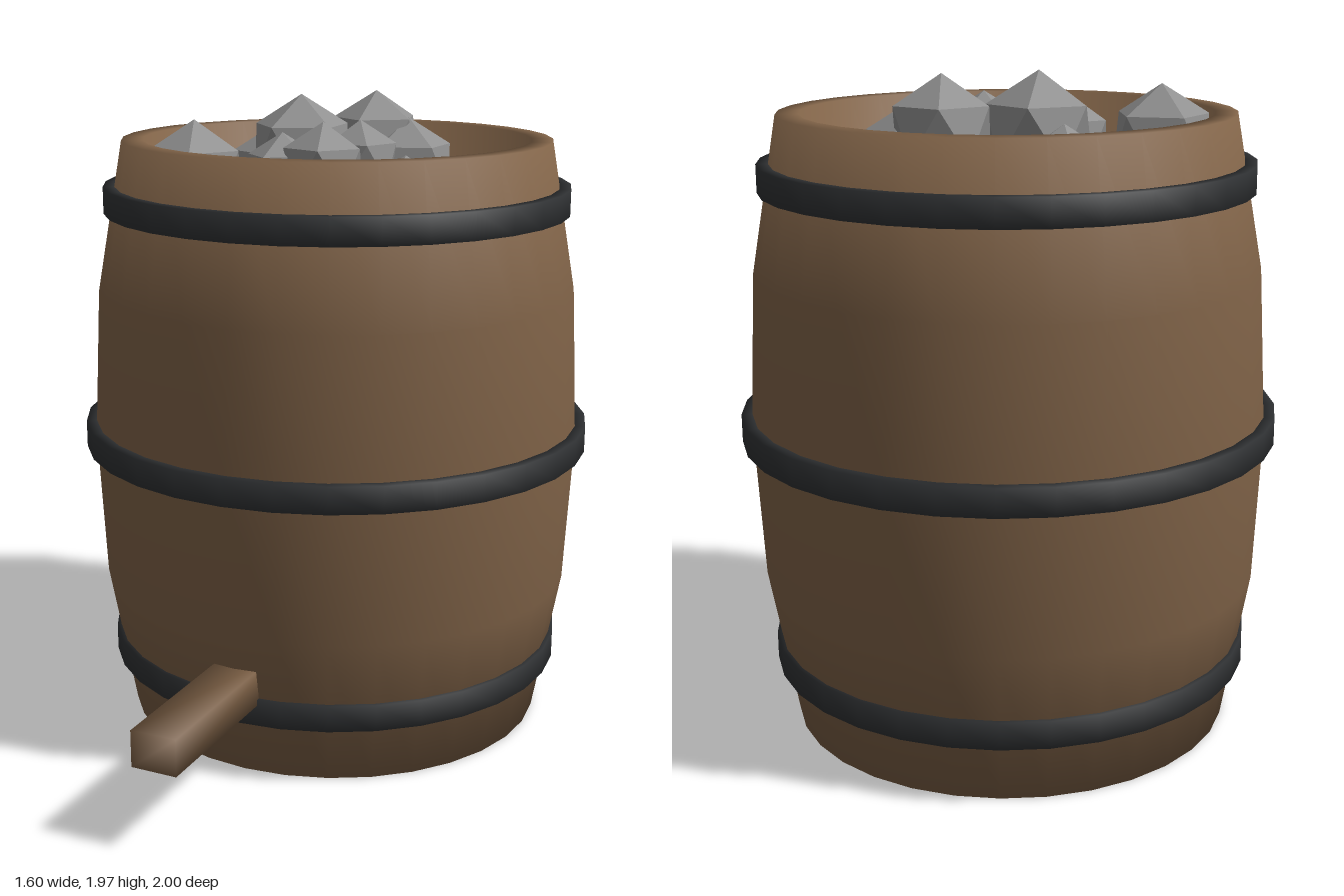
import * as THREE from 'three';

const SIDES = 32;
const material = (name, color, extra = {}) => {
  const m = new THREE.MeshStandardMaterial({ color, ...extra });
  m.name = name;
  return m;
};

// Smooth hollow barrel: walls from a lathe, flat strips closing the base and the inner floor
function barrelGeometry() {
  const profile = [
    [0.665, 0], [0.747, 0.46], [0.77, 0.92], [0.747, 1.38], [0.665, 1.84], // outside
    [0.6, 1.84], [0.6, 1.5],                                               // rim and inner wall
  ].map(([x, y]) => new THREE.Vector2(x, y));
  const n = profile.length;
  const geo = new THREE.LatheGeometry(profile, SIDES);

  // Each ring's normal is the even mean of the surfaces meeting there, caps included
  const path = [new THREE.Vector2(0, 0), ...profile, new THREE.Vector2(0, 1.5)];
  const faceNormal = (a, b) => new THREE.Vector2(b.y - a.y, a.x - b.x).normalize();
  const normals = profile.map((p, j) =>
    faceNormal(path[j], p).add(faceNormal(p, path[j + 2])).normalize());
  for (let i = 0; i <= SIDES; i++) {
    const a = (i / SIDES) * Math.PI * 2;
    normals.forEach((v, j) =>
      geo.attributes.normal.setXYZ(i * n + j, v.x * Math.sin(a), v.y, v.x * Math.cos(a)));
  }

  // Caps
  const index = Array.from(geo.index.array);
  const cap = (ring, up) => {
    const tri = (...t) => index.push(...(up ? t : t.reverse()).map((i) => i * n + ring));
    for (let k = 0; k < SIDES / 2; k++) {
      const l = SIDES - k;
      if (k > 0) tri(k, k + 1, l);
      if (k + 1 < l - 1) tri(k + 1, l - 1, l);
    }
  };
  cap(0, false);
  cap(n - 1, true);
  geo.setIndex(index);
  return geo;
}

// Iron band, its profile starting and ending on the hidden inner side
function hoopGeometry(radius) {
  const inner = radius - 0.04, h = 0.041;
  const pts = [[inner, 0], [inner, -h], [radius, -h], [radius, h], [inner, h], [inner, 0]];
  return new THREE.LatheGeometry(pts.map(([x, y]) => new THREE.Vector2(x, y)), SIDES);
}

// Softly shaded square peg
function spoutGeometry() {
  const geo = new THREE.BoxGeometry(0.14, 0.11, 0.6);
  const p = geo.attributes.position, s = 1 / Math.sqrt(3);
  for (let i = 0; i < p.count; i++) {
    geo.attributes.normal.setXYZ(i,
      Math.sign(p.getX(i)) * s, Math.sign(p.getY(i)) * s, Math.sign(p.getZ(i)) * s);
  }
  return geo;
}

export function createModel() {
  const model = new THREE.Group();
  model.name = 'barrelOfRocks';
  const wood = material('brown wood', 0x7f6247);
  const iron = material('dark iron', 0x2f3133);
  const stone = material('grey stone', 0x909090, { flatShading: true });

  const add = (name, geo, mat, x, y, z) => {
    const mesh = new THREE.Mesh(geo, mat);
    mesh.name = name;
    mesh.position.set(x, y, z);
    model.add(mesh);
    return mesh;
  };

  add('barrel', barrelGeometry(), wood, 0, 0, -0.2);
  add('spout', spoutGeometry(), wood, 0, 0.3, 0.7);

  // Hoops
  [['lowerHoop', 0.725, 0.222], ['middleHoop', 0.8, 0.922], ['upperHoop', 0.725, 1.66]]
    .forEach(([name, r, y]) => add(name, hoopGeometry(r), iron, 0, y, -0.2));

  // Rocks: x, y, z, radius, turn; each stands with one corner straight up
  const rock = new THREE.IcosahedronGeometry(1, 0);
  rock.rotateZ(Math.atan(2 / (1 + Math.sqrt(5))));
  [
    [0.01, 1.81, -0.49, 0.155, 0.3],
    [-0.14, 1.795, -0.24, 0.17, 0.1],
    [-0.33, 1.71, -0.39, 0.13, 0.5],
    [-0.39, 1.66, -0.39, 0.1, 0.2],
    [-0.32, 1.75, 0.13, 0.16, 0.7],
    [0.13, 1.73, -0.47, 0.155, 0.0],
    [0.21, 1.68, -0.25, 0.11, 0.4],
    [0.07, 1.77, -0.22, 0.125, 0.9],
    [-0.09, 1.75, 0.0, 0.12, 0.2],
    [0.04, 1.77, -0.01, 0.135, 0.6],
    [-0.03, 1.74, -0.09, 0.13, 1.0],
    [0.02, 1.66, -0.2, 0.15, 0.8],
  ].forEach(([x, y, z, r, turn], i) => {
    const mesh = add(`rock${i + 1}`, rock, stone, x, y, z);
    mesh.scale.setScalar(r);
    mesh.rotation.y = turn;
  });

  return model;
}
